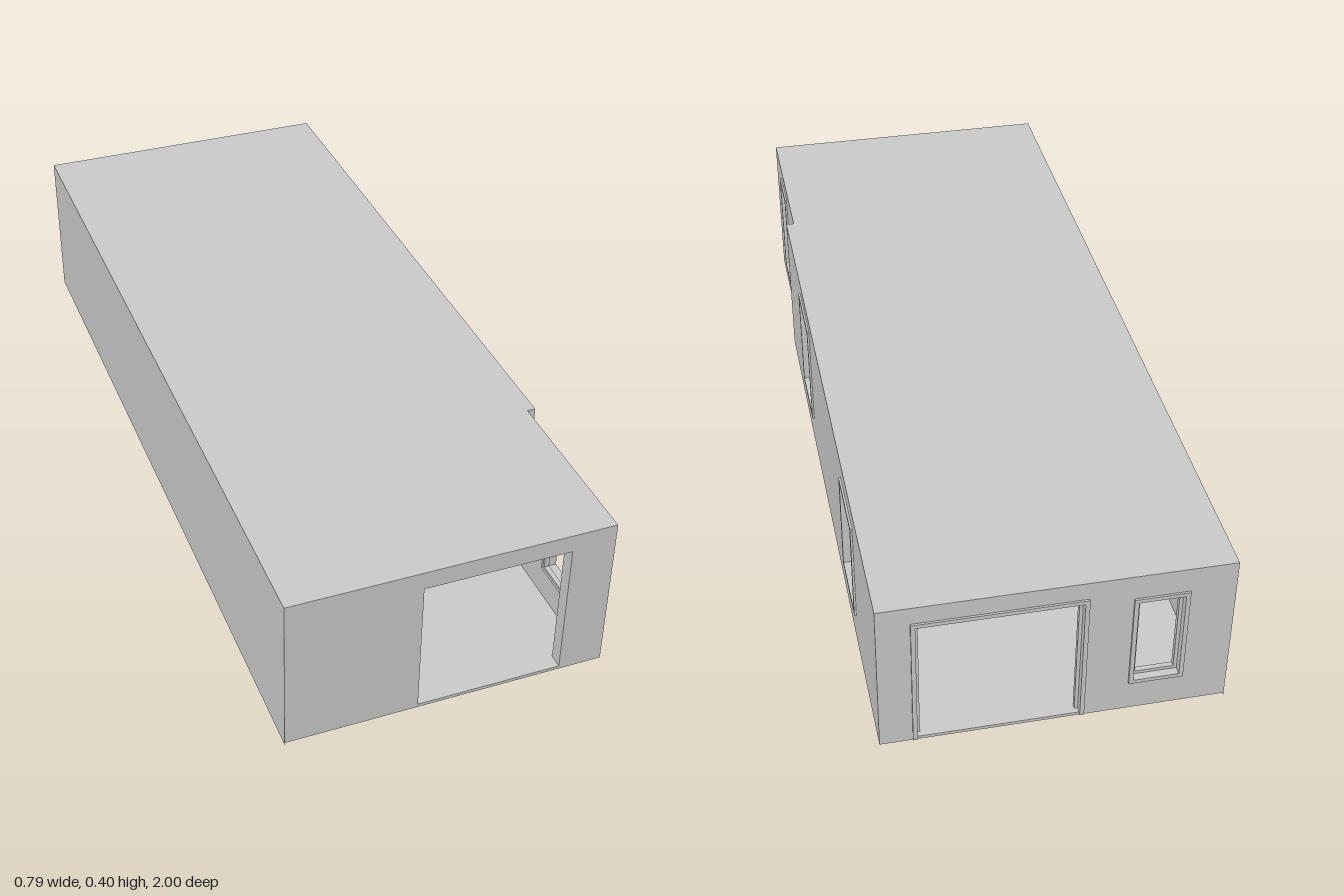
import * as THREE from 'three';

const material = new THREE.MeshStandardMaterial({ color: 0xcccccc, side: THREE.DoubleSide, flatShading: true });

// Plan outlines as [x, z] corners
const OUTER = [[-0.395, -0.995], [0.388, -0.995], [0.388, 0.56], [0.368, 0.56], [0.368, 1], [-0.395, 1]];
const ROOMS = [
  [-0.36, -0.965], [0.355, -0.965], [0.355, -0.26], [0.218, -0.26], [0.218, -0.12], [0.355, -0.12],
  [0.355, 0.55], [0.335, 0.55], [0.335, 0.965], [-0.15, 0.965], [-0.15, 0.15], [-0.135, 0.15],
  [-0.135, -0.12], [-0.025, -0.12], [-0.025, -0.26], [-0.14, -0.26], [-0.14, -0.38], [-0.36, -0.38],
];
const FLOOR_Y = 0.012, CEILING_Y = 0.375, ROOF_Y = 0.4, BASE_Y = 0.006;

// Openings: wall direction, inner and outer wall positions, span along the wall, height range
const OPENINGS = [
  { name: 'frontEntrance', axis: 'x', inn: 0.965, out: 1, s: [-0.083, 0.264], y: [0.013, 0.355] },
  { name: 'rearEntrance', axis: 'x', inn: -0.965, out: -0.995, s: [-0.06, 0.304], y: [0.013, 0.345], trim: 'door', sash: 0.008 },
  { name: 'rearWindow', axis: 'x', inn: -0.965, out: -0.995, s: [-0.282, -0.178], y: [0.095, 0.327], trim: 'window', sash: 0.008 },
  { name: 'sideWindowFront', axis: 'z', inn: 0.335, out: 0.368, s: [0.756, 0.862], y: [0.084, 0.357], trim: 'window', sash: 0.006 },
  { name: 'sideWindowMiddle', axis: 'z', inn: 0.355, out: 0.388, s: [0.09, 0.25], y: [0.1, 0.357], trim: 'window', sash: 0.006 },
  { name: 'sideWindowRear', axis: 'z', inn: 0.355, out: 0.388, s: [-0.665, -0.502], y: [0.1, 0.344], trim: 'window', sash: 0.006 },
];

function rectangle(s0, s1, y0, y1, Type = THREE.Shape) {
  return new Type([[s0, y0], [s1, y0], [s1, y1], [s0, y1]].map(p => new THREE.Vector2(...p)));
}

// Stands a shape drawn in (along wall, y) at a wall position
function placeOnWall(geometry, axis, position) {
  if (axis === 'z') return geometry.rotateY(-Math.PI / 2).translate(position, 0, 0);
  return geometry.translate(0, 0, position);
}

function addMesh(parent, name, geometry) {
  const mesh = new THREE.Mesh(geometry, material);
  mesh.name = name;
  parent.add(mesh);
  return mesh;
}

// One upright panel per outline edge, with the openings cut out
function buildWalls(name, outline, side, bottomOf, top) {
  const group = new THREE.Group();
  group.name = name;
  outline.forEach((a, i) => {
    const b = outline[(i + 1) % outline.length];
    const axis = a[1] === b[1] ? 'x' : 'z';
    const run = axis === 'x' ? 0 : 1;
    const position = a[1 - run];
    const s0 = Math.min(a[run], b[run]), s1 = Math.max(a[run], b[run]);
    const shape = rectangle(s0, s1, bottomOf(axis, position), top);
    for (const o of OPENINGS) {
      if (o.axis === axis && o[side] === position && o.s[0] > s0 && o.s[1] < s1) {
        shape.holes.push(rectangle(...o.s, ...o.y, THREE.Path));
      }
    }
    addMesh(group, 'wallPanel', placeOnWall(new THREE.ShapeGeometry(shape), axis, position));
  });
  return group;
}

// Horizontal surface over a plan outline
function buildSlab(outline, y) {
  const shape = new THREE.Shape(outline.map(([x, z]) => new THREE.Vector2(x, -z)));
  return new THREE.ShapeGeometry(shape).rotateX(-Math.PI / 2).translate(0, y, 0);
}

// Rectangular frame between two positions through the wall
function frameGeometry(o, grow, shrink, from, to, openBottom = false) {
  const [s0, s1] = o.s, [y0, y1] = o.y;
  const low = openBottom ? y0 - 0.004 : y0 - grow;
  let shape;
  if (openBottom) {
    shape = new THREE.Shape([
      [s0 - grow, low], [s0 + shrink, low], [s0 + shrink, y1 - shrink], [s1 - shrink, y1 - shrink],
      [s1 - shrink, low], [s1 + grow, low], [s1 + grow, y1 + grow], [s0 - grow, y1 + grow],
    ].map(p => new THREE.Vector2(...p)));
  } else {
    shape = rectangle(s0 - grow, s1 + grow, low, y1 + grow);
    shape.holes.push(rectangle(s0 + shrink, s1 - shrink, y0 + shrink, y1 - shrink, THREE.Path));
  }
  const geometry = new THREE.ExtrudeGeometry(shape, { depth: Math.abs(to - from), bevelEnabled: false });
  // Depth runs toward -x on side walls and toward +z on end walls
  return placeOnWall(geometry, o.axis, o.axis === 'z' ? Math.max(from, to) : Math.min(from, to));
}

function buildOpening(o) {
  const group = new THREE.Group();
  group.name = o.name;
  const outward = Math.sign(o.out - o.inn);
  const isDoor = o.trim === 'door';
  // Lining through the wall thickness
  addMesh(group, 'reveal', frameGeometry(o, 0.004, 0, o.inn, o.out - outward * 0.001));
  if (o.trim) addMesh(group, 'trim', frameGeometry(o, 0.01, 0, o.out - outward * 0.002, o.out + outward * 0.005, isDoor));
  if (o.sash) addMesh(group, 'sash', frameGeometry(o, 0, o.sash, o.inn + outward * 0.004, o.inn + outward * 0.016, isDoor));
  return group;
}

export function createModel() {
  const model = new THREE.Group();
  model.name = 'building';

  // Outer shell: the long plain wall reaches the ground
  model.add(buildWalls('outerWalls', OUTER, 'out', (axis, p) => (axis === 'z' && p < 0 ? 0 : BASE_Y), ROOF_Y));
  addMesh(model, 'roof', buildSlab(OUTER, ROOF_Y));

  // Rooms inside, joined by a short passage
  model.add(buildWalls('roomWalls', ROOMS, 'inn', () => 0.008, CEILING_Y));
  addMesh(model, 'floor', buildSlab(ROOMS, FLOOR_Y));
  addMesh(model, 'ceiling', buildSlab(ROOMS, CEILING_Y));
  addMesh(model, 'passageHeader', new THREE.BoxGeometry(0.243, CEILING_Y - 0.29, 0.14))
    .position.set(0.0965, (CEILING_Y + 0.29) / 2, -0.19);

  OPENINGS.forEach(o => model.add(buildOpening(o)));
  return model;
}
